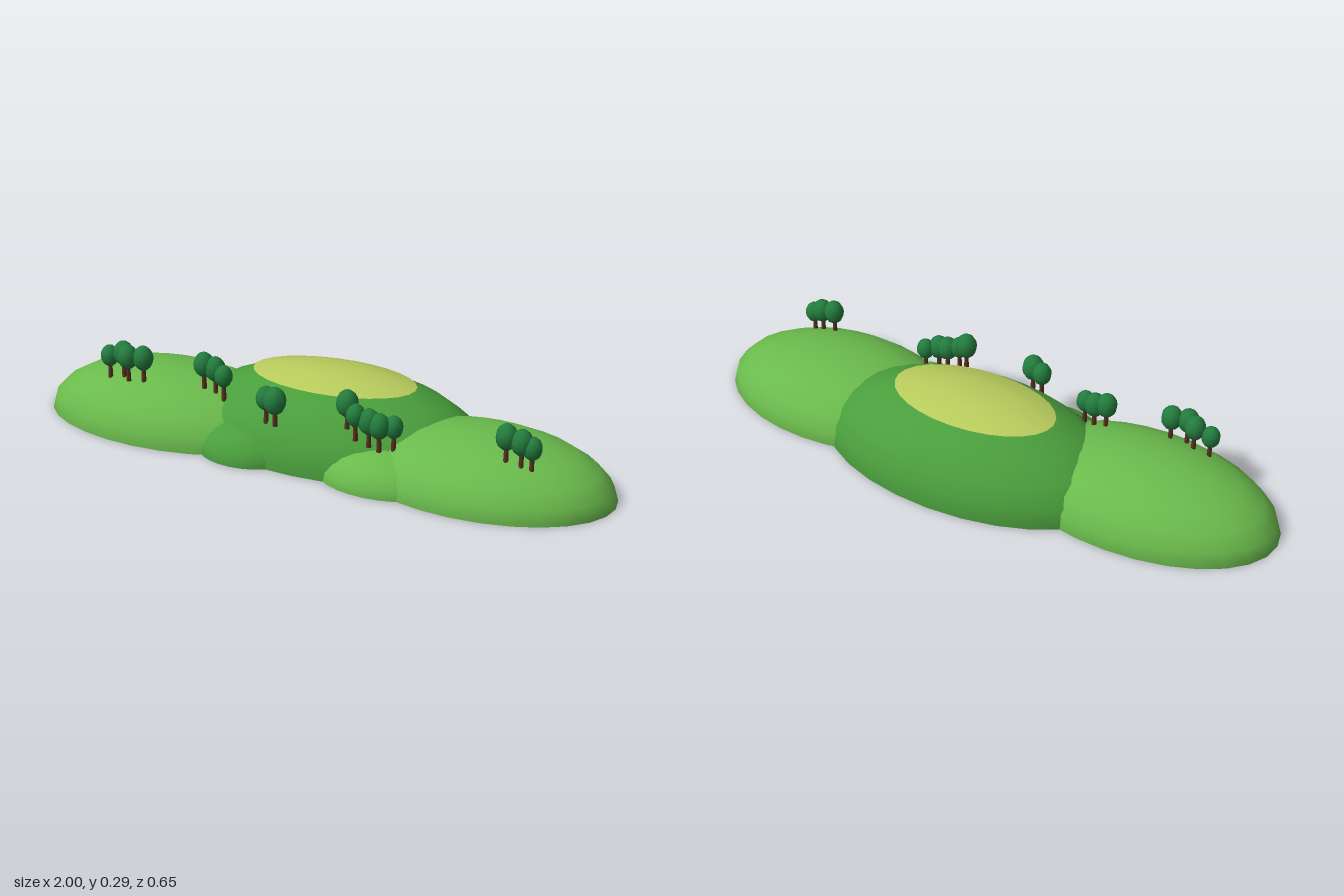
import * as THREE from 'three';

const material = (color) => new THREE.MeshStandardMaterial({ color });
const LIGHT = material(0x6aba4c), MID = material(0x4a9e3c), DRY = material(0xb8cb5c);
const LEAF = material(0x237c3e), BARK = material(0x5c3020);

function mesh(name, geometry, mat, x, y, z) {
  const m = new THREE.Mesh(geometry, mat);
  m.name = name;
  m.position.set(x, y, z);
  return m;
}

// Half ellipsoid with a flat underside
function hill(name, mat, [x, z], [rx, ry, rz]) {
  const g = new THREE.Group();
  g.name = name;
  const dome = new THREE.SphereGeometry(1, 28, 6, 0, Math.PI * 2, 0, Math.PI / 2).scale(rx, ry, rz);
  const base = new THREE.CircleGeometry(1, 28).rotateX(Math.PI / 2).scale(rx, 1, rz);
  g.add(mesh(name + 'Dome', dome, mat, x, 0, z), mesh(name + 'Base', base, mat, x, 0, z));
  return g;
}

// Trunk with an egg-shaped crown; y is the middle of the crown
function tree([x, y, z, s]) {
  const g = new THREE.Group();
  g.name = 'tree';
  g.position.set(x, y, z);
  g.add(
    mesh('trunk', new THREE.CylinderGeometry(0.006, 0.008, 0.075, 6), BARK, 0, -0.0475, 0),
    mesh('crown', new THREE.SphereGeometry(1, 10, 8).scale(0.034 * s, 0.042 * s, 0.034 * s), LEAF, 0, 0, 0)
  );
  return g;
}

export function createModel() {
  const model = new THREE.Group();
  model.name = 'hills';

  // Hills
  model.add(
    hill('rightHill', LIGHT, [-0.54, 0.035], [0.46, 0.196, 0.27]),
    hill('leftHill', LIGHT, [0.573, 0.052], [0.425, 0.18, 0.272]),
    hill('middleHill', MID, [0.03, -0.025], [0.535, 0.254, 0.302]),
    hill('rightFoothill', MID, [-0.18, 0.165], [0.175, 0.11, 0.14]),
    hill('leftFoothill', LIGHT, [0.29, 0.17], [0.215, 0.112, 0.148])
  );

  // Dry grass on the highest hill
  const patch = new THREE.SphereGeometry(1, 28, 2, 0, Math.PI * 2, 0, Math.PI / 6).scale(0.566, 0.261, 0.308);
  const dryTop = mesh('dryTop', patch, DRY, 0.028, 0, -0.022);
  model.add(dryTop);

  // Clumps of trees: x, crown height, z, size
  const clumps = [
    [[-0.71, 0.233, 0.155, 0.88], [-0.657, 0.25, 0.153, 1], [-0.625, 0.25, 0.177, 1], [-0.573, 0.25, 0.166, 1]],
    [[-0.368, 0.25, 0.125, 1], [-0.328, 0.24, 0.122, 1], [-0.287, 0.228, 0.14, 0.88]],
    [[-0.092, 0.217, 0.216, 0.95], [-0.053, 0.22, 0.23, 1.08]],
    [[0.182, 0.245, 0.2, 1.05], [0.217, 0.218, 0.215, 0.9], [0.26, 0.203, 0.21, 1], [0.295, 0.195, 0.212, 1], [0.333, 0.19, 0.188, 0.88]],
    [[0.692, 0.226, 0.18, 1], [0.74, 0.217, 0.18, 1], [0.772, 0.203, 0.177, 0.88]],
  ];
  for (const clump of clumps) {
    const g = new THREE.Group();
    g.name = 'treeClump';
    g.add(...clump.map(tree));
    model.add(g);
  }
  return model;
}
